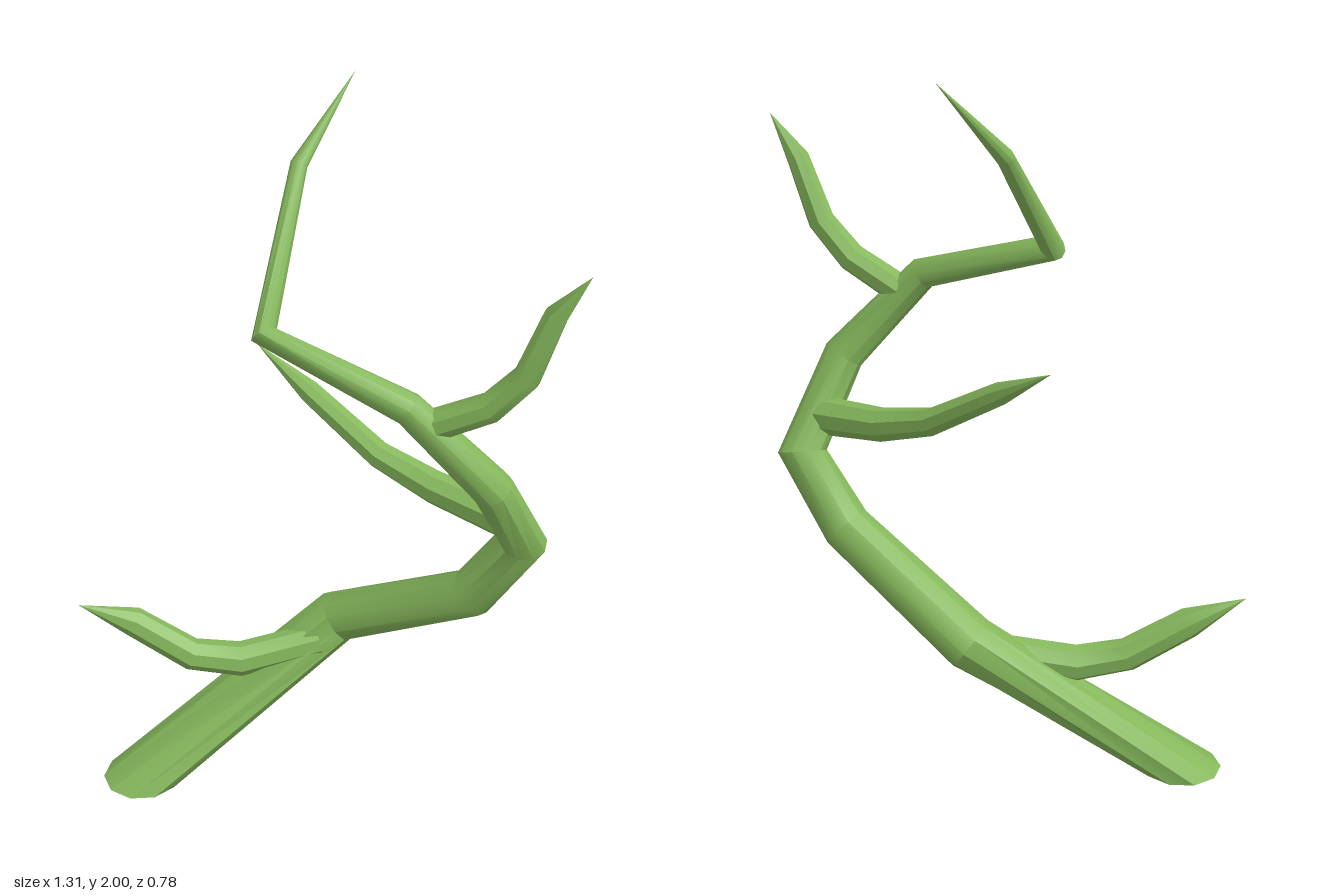
import * as THREE from 'three';
import { toCreasedNormals } from 'three/addons/utils/BufferGeometryUtils.js';

const bark = new THREE.MeshStandardMaterial({ color: 0x86b85c, roughness: 0.9 });

// Tapered limb: nodes are [x, y, z, radius]; rings are mitred at each bend, last node is a sharp tip.
function limb(name, nodes, sides, flatBase = false) {
  const p = nodes.map(n => new THREE.Vector3(n[0], n[1], n[2]));
  const last = p.length - 1;
  const pos = [], index = [];
  const dirs = p.slice(1).map((q, i) => q.clone().sub(p[i]).normalize());
  const side = new THREE.Vector3(0, 0, 1);

  for (let i = 0; i < last; i++) {
    const t = dirs[i].clone();
    if (i > 0) t.add(dirs[i - 1]).normalize();
    if (i === 0 && flatBase) t.set(0, 1, 0);
    // carry the ring's orientation along the limb without twisting
    side.addScaledVector(t, -side.dot(t)).normalize();
    const up = new THREE.Vector3().crossVectors(t, side);
    for (let j = 0; j < sides; j++) {
      const a = ((j + 0.5) / sides) * Math.PI * 2;
      const v = p[i].clone()
        .addScaledVector(side, Math.cos(a) * nodes[i][3])
        .addScaledVector(up, Math.sin(a) * nodes[i][3]);
      pos.push(v.x, v.y, v.z);
    }
  }
  const tip = pos.length / 3, base = tip + 1;
  pos.push(...p[last].toArray(), ...p[0].toArray());

  for (let j = 0; j < sides; j++) {
    const k = (j + 1) % sides;
    for (let i = 0; i < last - 1; i++) {
      const a = i * sides + j, b = i * sides + k;
      index.push(a, b, b + sides, a, b + sides, a + sides);
    }
    const r = (last - 1) * sides;
    index.push(r + j, r + k, tip, base, k, j);
  }
  const g = new THREE.BufferGeometry();
  g.setAttribute('position', new THREE.Float32BufferAttribute(pos, 3));
  g.setIndex(index);
  const mesh = new THREE.Mesh(toCreasedNormals(g, 0.7), bark);
  mesh.name = name;
  return mesh;
}

export function createModel() {
  const group = new THREE.Group();
  group.name = 'thornyBranch';

  // Main winding stem, cut flat at the ground
  group.add(limb('mainStem', [
    [-0.49, 0, 0.28, 0.112],
    [-0.10, 0.44, -0.17, 0.077],
    [0.32, 0.665, -0.19, 0.069],
    [0.45, 0.865, -0.22, 0.067],
    [0.435, 1.105, -0.06, 0.056],
    [0.25, 1.345, 0.06, 0.044],
    [-0.135, 1.475, 0.125, 0.036],
    [-0.235, 1.795, -0.2, 0.023],
    [-0.18, 2.0, -0.39, 0],
  ], 10, true));

  // Side shoots
  group.add(limb('lowerShoot', [
    [-0.12, 0.395, -0.10, 0.048],
    [-0.29, 0.352, 0.05, 0.05],
    [-0.40, 0.38, 0.135, 0.046],
    [-0.54, 0.49, 0.215, 0.042],
    [-0.655, 0.56, 0.31, 0],
  ], 8));
  group.add(limb('middleShoot', [
    [0.43, 0.957, -0.16, 0.053],
    [0.21, 0.985, -0.16, 0.046],
    [0.04, 1.035, -0.155, 0.038],
    [-0.18, 1.165, -0.155, 0.032],
    [-0.35, 1.26, -0.16, 0],
  ], 8));
  group.add(limb('upperShoot', [
    [0.30, 1.295, 0.025, 0.042],
    [0.44, 1.37, -0.015, 0.04],
    [0.52, 1.465, -0.045, 0.037],
    [0.575, 1.635, -0.07, 0.031],
    [0.655, 1.75, -0.09, 0],
  ], 8));
  return group;
}
